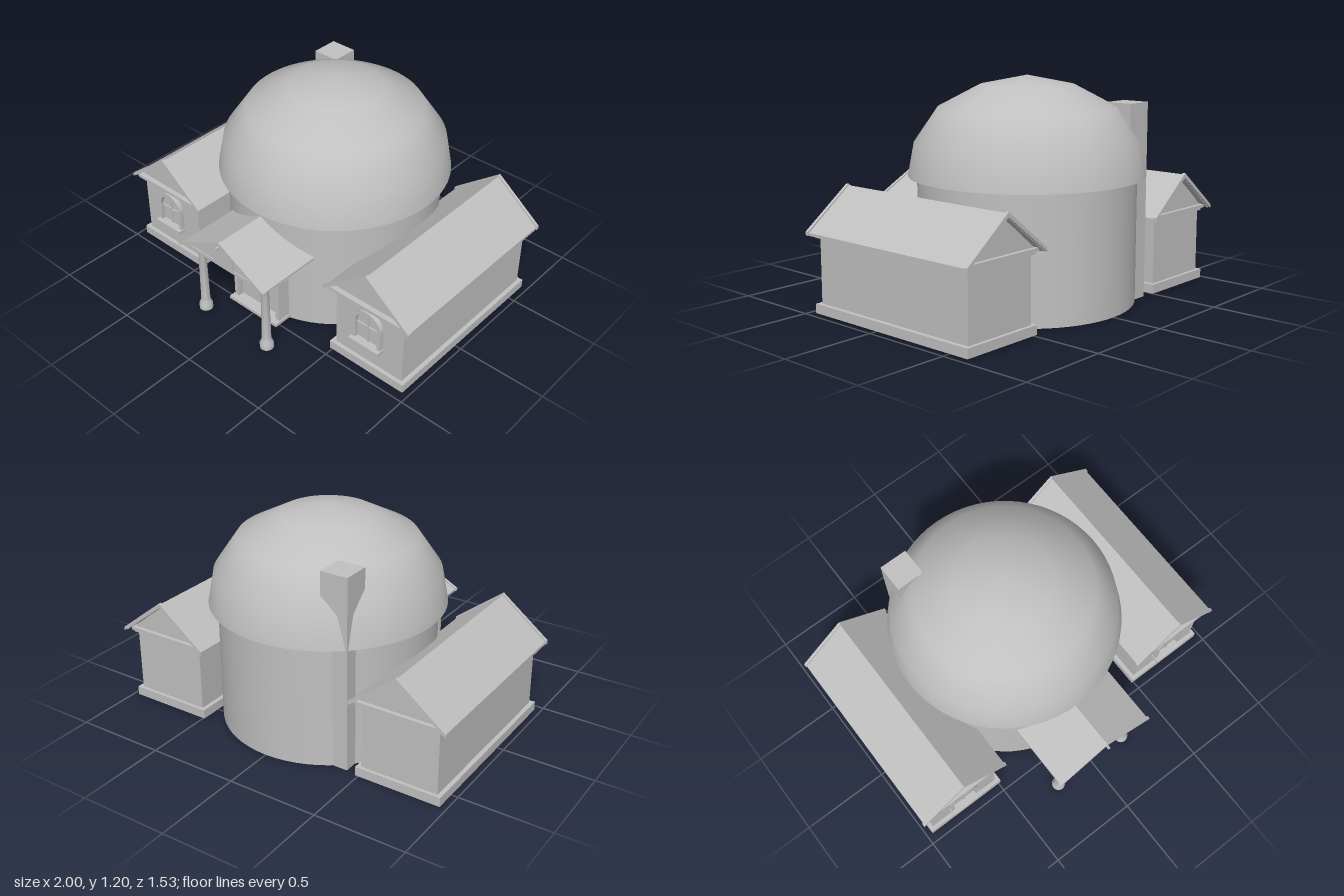
import * as THREE from 'three';
import { toCreasedNormals } from 'three/addons/utils/BufferGeometryUtils.js';

const stone = new THREE.MeshStandardMaterial({ color: 0xc0c0c0 });
stone.name = 'stone grey';

function add(parent, name, geometry) {
  const m = new THREE.Mesh(geometry, stone);
  m.name = name;
  parent.add(m);
  return m;
}

// box given by its limits on each axis
function box(parent, name, x0, x1, y0, y1, z0, z1) {
  const m = add(parent, name, new THREE.BoxGeometry(x1 - x0, y1 - y0, z1 - z0));
  m.position.set((x0 + x1) / 2, (y0 + y1) / 2, (z0 + z1) / 2);
  return m;
}

// shape in the xy plane, extruded from z0 to z1
function slab(parent, name, shape, z0, z1) {
  const g = new THREE.ExtrudeGeometry(shape, { depth: z1 - z0, bevelEnabled: false, curveSegments: 16 });
  g.translate(0, 0, z0);
  return add(parent, name, toCreasedNormals(g, 0.6));
}

function polygon(points) {
  return new THREE.Shape(points.map(([x, y]) => new THREE.Vector2(x, y)));
}

// round-headed outline: straight sides, then a half circle
function arch(r, y0, spring) {
  const s = new THREE.Shape();
  s.moveTo(-r, y0);
  s.lineTo(r, y0);
  s.lineTo(r, spring);
  s.absarc(0, spring, r, 0, Math.PI, false);
  s.lineTo(-r, y0);
  return s;
}

function archFrame(r, inner, y0, spring) {
  const s = arch(r, y0, spring);
  s.holes.push(arch(inner, y0 + 0.001, spring));
  return s;
}

// inverted V section for roof planes and gable trim
function chevron(w, eave, ridge, t) {
  return polygon([[-w, eave], [-w, eave - t], [0, ridge - t * 1.3], [w, eave - t], [w, eave], [0, ridge]]);
}

function lathe(parent, name, pts, crease) {
  const g = new THREE.LatheGeometry(pts.map(([r, y]) => new THREE.Vector2(r, y)), 64);
  return add(parent, name, toCreasedNormals(g, crease));
}

function rotunda() {
  const g = new THREE.Group();
  g.name = 'rotunda';
  add(g, 'drum', new THREE.CylinderGeometry(0.582, 0.582, 0.68, 64)).position.y = 0.34;
  lathe(g, 'dome', [[0, 0.675], [0.63, 0.675], [0.597, 0.85], [0.472, 1.033], [0.25, 1.15], [0, 1.2]], 1.0);
  g.position.z = -0.135;
  return g;
}

function wing(side) {
  const g = new THREE.Group();
  g.name = side > 0 ? 'leftWing' : 'rightWing';
  box(g, 'plinth', -0.24, 0.24, 0.005, 0.055, -0.624, 0.452);
  box(g, 'walls', -0.216, 0.216, 0.01, 0.42, -0.605, 0.43);
  box(g, 'cornice', -0.235, 0.235, 0.4, 0.417, -0.616, 0.444);
  box(g, 'eaves', -0.24, 0.24, 0.417, 0.435, -0.632, 0.464);
  slab(g, 'gable', polygon([[-0.235, 0.43], [0.235, 0.43], [0, 0.625]]), -0.61, 0.435);
  slab(g, 'roof', chevron(0.266, 0.428, 0.638, 0.015), -0.645, 0.462);
  for (const [z0, z1] of [[-0.657, -0.64], [0.457, 0.476]])
    slab(g, 'gableTrim', chevron(0.272, 0.434, 0.646, 0.02), z0, z1);

  // arched window with sill and crossing bars
  slab(g, 'windowFrame', archFrame(0.09, 0.071, 0.19, 0.306), 0.425, 0.456);
  slab(g, 'windowPane', arch(0.072, 0.19, 0.306), 0.425, 0.434);
  box(g, 'windowBar', -0.005, 0.005, 0.19, 0.375, 0.43, 0.442);
  box(g, 'windowBar', -0.071, 0.071, 0.285, 0.295, 0.43, 0.442);
  box(g, 'windowSill', -0.096, 0.096, 0.175, 0.195, 0.425, 0.48);
  g.position.x = side * 0.727;
  return g;
}

function porch() {
  const g = new THREE.Group();
  g.name = 'porch';
  const column = [[0, 0], [0.037, 0], [0.037, 0.03], [0.026, 0.055], [0.025, 0.07], [0.021, 0.385],
    [0.026, 0.4], [0.036, 0.412], [0.036, 0.438], [0, 0.438]];
  for (const x of [-0.23, 0.23]) lathe(g, 'column', column, 0.5).position.set(x, 0, 0.661);
  box(g, 'entablature', -0.27, 0.27, 0.435, 0.455, 0.34, 0.72);
  slab(g, 'pediment', polygon([[-0.25, 0.45], [0.25, 0.45], [0, 0.6]]), 0.34, 0.715);
  slab(g, 'porchRoof', chevron(0.3, 0.458, 0.618, 0.013), 0.33, 0.74);
  slab(g, 'porchRoofTrim', chevron(0.307, 0.463, 0.625, 0.016), 0.733, 0.75);
  slab(g, 'pedimentPlaque', polygon([[-0.066, 0.452], [0.066, 0.452], [0.066, 0.572], [0, 0.604], [-0.066, 0.572]]), 0.71, 0.725);
  box(g, 'finial', -0.006, 0.006, 0.584, 0.598, 0.72, 0.768);
  return g;
}

function entrance() {
  const g = new THREE.Group();
  g.name = 'entrance';
  box(g, 'doorStep', -0.175, 0.175, 0.008, 0.026, 0.4, 0.534);
  for (const s of [-1, 1]) {
    const x = s * 0.153;
    box(g, 'doorJamb', x - 0.014, x + 0.014, 0.02, 0.277, 0.38, 0.5);
  }
  slab(g, 'doorArch', archFrame(0.163, 0.139, 0.02, 0.277), 0.38, 0.494);
  slab(g, 'door', arch(0.14, 0.02, 0.277), 0.38, 0.465);
  return g;
}

export function createModel() {
  const model = new THREE.Group();
  model.name = 'domedBuilding';
  model.add(rotunda(), wing(1), wing(-1), porch(), entrance());
  box(model, 'chimney', -0.427, -0.273, 0, 1.057, -0.605, -0.45);
  return model;
}
